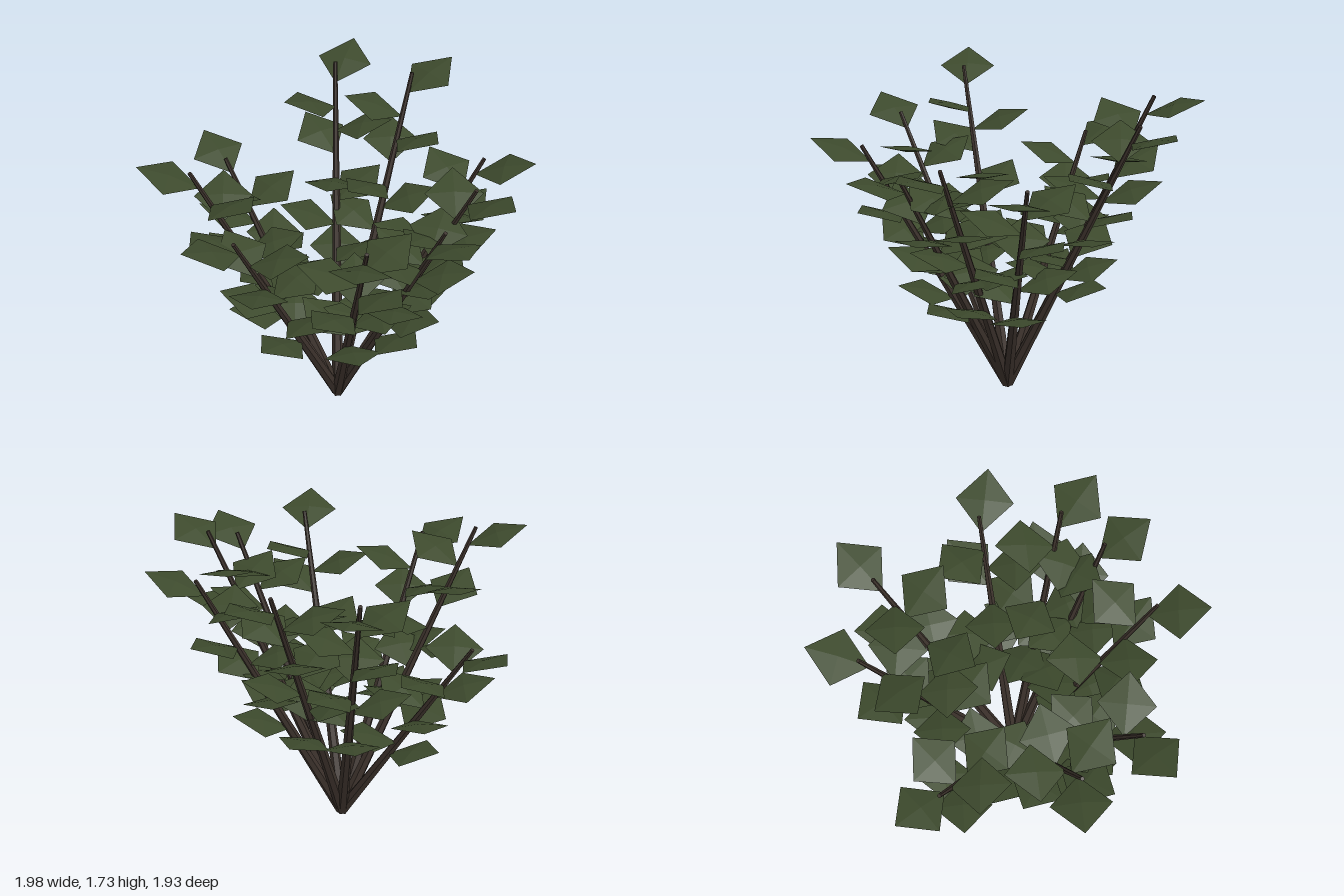
import * as THREE from 'three';

const BASE = new THREE.Vector3(-0.02, 0.012, 0.02);

// Stem tips: x, y, z
const TIPS = [
  [-0.77, 1.28, -0.12], [-0.57, 1.63, 0.54], [-0.37, 1.71, -0.65],
  [-0.21, 1.45, 0.75], [0.05, 1.71, -0.73], [0.44, 1.52, 0.62],
  [0.62, 1.53, -0.38], [0.74, 1.61, 0.02], [0.69, 1.5, 0.27],
];

const LEAVES_PER_STEM = 9;
const LEAF_TURN = THREE.MathUtils.degToRad(137.5);
const LEAF_TILT = THREE.MathUtils.degToRad(20);

// Flat diamond leaf with a slightly raised centre, its stalk end at the origin, pointing along +x
function leafGeometry() {
  const g = new THREE.OctahedronGeometry(1, 0);
  g.scale(0.165, 0.017, 0.15);
  g.translate(0.165, 0, 0);
  return g;
}

export function createModel() {
  const shrub = new THREE.Group();
  shrub.name = 'shrub';
  const bark = new THREE.MeshStandardMaterial({ color: 0x3a302a, flatShading: true });
  const green = new THREE.MeshStandardMaterial({ color: 0x3d4a2d, flatShading: true });
  const leafGeo = leafGeometry();
  const up = new THREE.Vector3(0, 1, 0);

  for (const tipPoint of TIPS) {
    const tip = new THREE.Vector3(...tipPoint);
    const span = tip.clone().sub(BASE);
    const branch = new THREE.Group();
    branch.name = 'branch';

    // Straight tapering stem
    const stem = new THREE.Mesh(new THREE.CylinderGeometry(0.011, 0.034, span.length(), 6), bark);
    stem.name = 'stem';
    stem.position.copy(BASE).addScaledVector(span, 0.5);
    stem.quaternion.setFromUnitVectors(up, span.clone().normalize());
    branch.add(stem);

    // Leaves spiralling up the stem, the lowest one pointing outward
    const outward = Math.atan2(span.z, span.x);
    for (let i = 0; i < LEAVES_PER_STEM; i++) {
      const leaf = new THREE.Mesh(leafGeo, green);
      leaf.name = 'leaf';
      leaf.position.copy(BASE).addScaledVector(span, 0.38 + 0.07 * i);
      leaf.rotation.set(0, -(outward + i * LEAF_TURN), LEAF_TILT, 'YZX');
      branch.add(leaf);
    }
    shrub.add(branch);
  }
  return shrub;
}
